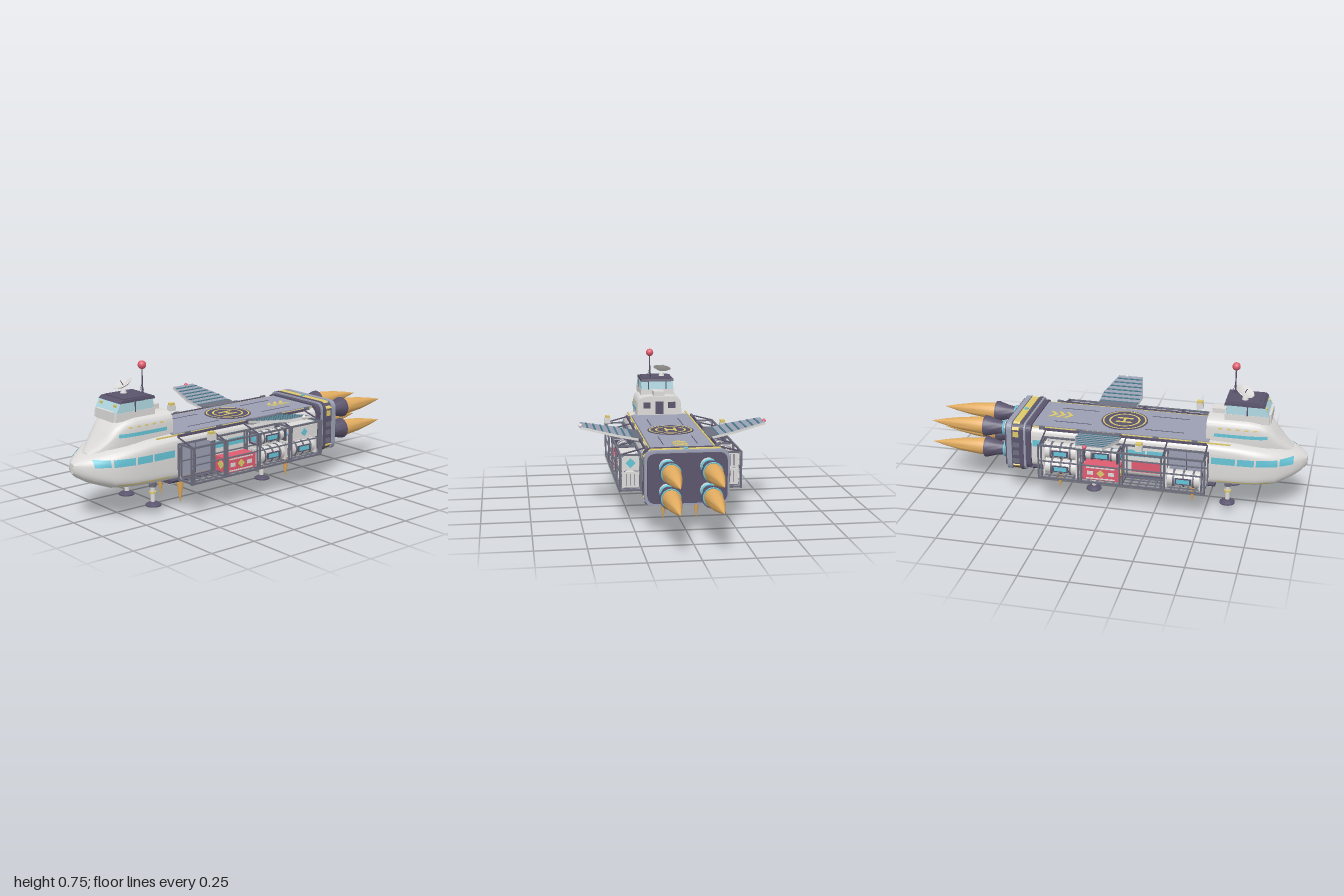
import * as THREE from 'three';
import { toCreasedNormals } from 'three/addons/utils/BufferGeometryUtils.js';

const mat = (name, color, side = THREE.FrontSide) => {
  const m = new THREE.MeshStandardMaterial({ color, side });
  m.name = name;
  return m;
};
const hull = mat('hullGrey', 0xdcdbd9), deck = mat('deckBlueGrey', 0x9a9fb2), dark = mat('darkPurple', 0x5a546c);
const frame = mat('frameGrey', 0x6e6f7e), cyan = mat('cyan', 0x66c4d7, THREE.DoubleSide), glass = mat('paleGlass', 0xb2dae3);
const yellow = mat('yellow', 0xdcc86c, THREE.DoubleSide), flame = mat('flameOrange', 0xe2ac60);
const red = mat('red', 0xdf5c70), teal = mat('darkTeal', 0x447886);

// Stations: [z, half width, bottom, top, roundness exponent]
const HULL = [[-.43, .187, .162, .39, 7], [.5, .187, .162, .39, 7], [.65, .185, .162, .385, 6], [.75, .18, .163, .375, 5],
  [.85, .157, .17, .36, 4], [.93, .103, .198, .335, 3], [.97, .065, .222, .32, 2.6], [1, .024, .25, .3, 2.2]];
const CABIN = [[.49, .125, .3, .5, 5], [.7, .125, .3, .5, 5], [.76, .12, .3, .495, 4.5], [.8, .108, .3, .472, 4],
  [.84, .092, .3, .425, 3.5], [.88, .068, .3, .382, 3], [.925, .03, .3, .34, 3]];

function loft(stations, n = 56) {
  const pos = [], idx = [];
  for (const [z, w, yb, yt, e] of stations)
    for (let j = 0; j < n; j++) {
      const a = j / n * Math.PI * 2, c = Math.cos(a), s = Math.sin(a);
      pos.push(w * Math.sign(c) * Math.abs(c) ** (2 / e), (yb + yt) / 2 + (yt - yb) / 2 * Math.sign(s) * Math.abs(s) ** (2 / e), z);
    }
  const m = stations.length, first = stations[0], last = stations[m - 1];
  pos.push(0, (first[2] + first[3]) / 2, first[0], 0, (last[2] + last[3]) / 2, last[0]);
  for (let j = 0; j < n; j++) {
    const k = (j + 1) % n, e = (m - 1) * n;
    for (let i = 0; i < m - 1; i++) {
      const a = i * n + j, b = i * n + k;
      idx.push(a, b, b + n, a, b + n, a + n);
    }
    idx.push(m * n, k, j, m * n + 1, e + j, e + k);
  }
  const g = new THREE.BufferGeometry();
  g.setAttribute('position', new THREE.Float32BufferAttribute(pos, 3));
  g.setIndex(idx);
  return toCreasedNormals(g, .7);
}

// Half width of a lofted body at (z, y)
function halfWidth(st, z, y) {
  let i = 0;
  while (i < st.length - 2 && z > st[i + 1][0]) i++;
  const t = (z - st[i][0]) / (st[i + 1][0] - st[i][0]);
  const [, w, yb, yt, e] = st[i].map((v, k) => v + (st[i + 1][k] - v) * t);
  return w * Math.max(0, 1 - Math.abs((2 * y - yb - yt) / (yt - yb)) ** e) ** (1 / e);
}

// Thin painted strip that follows a lofted body
function strip(st, s, z0, z1, y0, y1) {
  const g = new THREE.PlaneGeometry(1, 1, 8, 3), p = g.attributes.position;
  for (let i = 0; i < p.count; i++) {
    const z = z0 + (p.getX(i) + .5) * (z1 - z0), y = y0 + (p.getY(i) + .5) * (y1 - y0);
    p.setXYZ(i, s * (halfWidth(st, z, y) + .004), y, z);
  }
  // keep the face order outward on both sides
  if (s > 0) g.setIndex(Array.from(g.index.array).reverse());
  g.computeVertexNormals();
  return g;
}

function roundRect(w, y0, y1, r) {
  const s = new THREE.Shape();
  s.moveTo(-w + r, y0).lineTo(w - r, y0).quadraticCurveTo(w, y0, w, y0 + r).lineTo(w, y1 - r).quadraticCurveTo(w, y1, w - r, y1);
  s.lineTo(-w + r, y1).quadraticCurveTo(-w, y1, -w, y1 - r).lineTo(-w, y0 + r).quadraticCurveTo(-w, y0, -w + r, y0);
  return s;
}
const poly = pts => new THREE.Shape(pts.map(p => new THREE.Vector2(...p)));
const plate = (shape, depth) => new THREE.ExtrudeGeometry(shape, { depth, bevelEnabled: false, curveSegments: 6 });
const lathe = (pts, n = 24) => toCreasedNormals(new THREE.LatheGeometry(pts.map(p => new THREE.Vector2(...p)), n), .6);

export function createModel() {
  const root = new THREE.Group();
  root.name = 'spaceFreighter';
  let parent = root;
  const add = (name, geo, m, x = 0, y = 0, z = 0) => {
    const o = new THREE.Mesh(geo, m);
    o.name = name;
    o.position.set(x, y, z);
    parent.add(o);
    return o;
  };
  const box = (name, m, w, h, d, x, y, z) => add(name, new THREE.BoxGeometry(w, h, d), m, x, y, z);
  const cyl = (name, m, r0, r1, h, x, y, z, n = 20) => add(name, new THREE.CylinderGeometry(r0, r1, h, n), m, x, y, z);
  const rod = (name, m, r, a, b) => {
    const A = new THREE.Vector3(...a), B = new THREE.Vector3(...b), d = B.clone().sub(A);
    const o = cyl(name, m, r, r, d.length(), 0, 0, 0, 6);
    o.position.copy(A).add(B).multiplyScalar(.5);
    o.quaternion.setFromUnitVectors(new THREE.Vector3(0, 1, 0), d.normalize());
  };
  const group = (name, fn) => {
    const old = parent, g = new THREE.Group();
    g.name = name;
    old.add(g);
    parent = g;
    fn(g);
    parent = old;
  };

  // Hull, belly and forward cabin
  add('hull', loft(HULL), hull);
  add('bellyTrim', plate(poly([[-.165, .148], [.165, .148], [.198, .17], [-.198, .17]]), .98), dark, 0, 0, -.43);
  box('bellyPlate', hull, .325, .004, .975, 0, .147, .06);
  add('cabin', loft(CABIN), hull);
  for (const s of [1, -1]) {
    for (const [a, b] of [[.87, .935], [.755, .86], [.66, .745], [.53, .65], [.2, .29], [.09, .19], [-.12, .07], [-.33, -.14], [-.41, -.35]])
      add('hullWindow', strip(HULL, s, a, b, .287, .323), cyan);
    add('cabinStripe', strip(CABIN, s, .53, .8, .412, .43), cyan);
    for (let i = 0; i < 5; i++) add('cabinPort', strip(CABIN, s, .55 + i * .045, .57 + i * .045, .453, .461), yellow);
    add('noseStripe', strip(HULL, s, .56, .84, .189, .195), yellow);
    box('cabinRearWindow', dark, .04, .035, .006, s * .07, .45, .489);
  }
  box('cabinDoor', dark, .045, .07, .008, 0, .435, .488);
  box('cabinRearStep', hull, .06, .03, .07, 0, .51, .54);

  // Bridge
  group('bridge', () => {
    const layer = (name, m, w, y, h, z0, z1, slope) => {
      const g = plate(poly([[z0, y], [z1, y], [z1 - slope, y + h], [z0 + slope * .2, y + h]]), w * 2);
      g.translate(0, 0, -w).rotateY(-Math.PI / 2);
      add(name, g, m);
    };
    layer('bridgeBase', hull, .094, .485, .042, .575, .805, .006);
    layer('bridgeGlass', glass, .092, .525, .048, .58, .8, .025);
    layer('bridgeRoof', dark, .092, .572, .014, .572, .778, .015);
    box('frontHood', hull, .145, .05, .05, 0, .508, .785);
    for (const s of [1, -1]) {
      box('headlamp', yellow, .022, .012, .008, s * .06, .558, .784);
      box('sideRib', dark, .006, .05, .006, s * .092, .548, .69);
      box('rearRib', dark, .006, .05, .006, s * .05, .548, .581);
    }
    box('roofTrim', dark, .16, .006, .16, 0, .588, .67);
    // Dish and mast
    cyl('dishFoot', hull, .012, .018, .022, -.035, .598, .67);
    const n = new THREE.Vector3(-.2, 1, .48).normalize(), up = new THREE.Vector3(0, 1, 0);
    const dish = add('dish', lathe([[0, -.012], [.03, -.007], [.05, .004], [.048, .006], [.028, -.001], [0, -.005]], 20), hull, -.038, .633, .668);
    dish.quaternion.setFromUnitVectors(up, n);
    rod('dishFeed', dark, .002, [-.038, .628, .668], [-.046, .652, .68]);
    cyl('mast', dark, .003, .004, .14, .04, .655, .61, 8);
    add('mastBall', new THREE.SphereGeometry(.021, 24, 16), red, .04, .735, .61);
    for (let i = 0; i < 3; i++) {
      const a = i * Math.PI * 2 / 3;
      rod('stay', dark, .001, [.04, .65, .61], [.04 + .018 * Math.cos(a), .585, .61 + .018 * Math.sin(a)]);
    }
  });

  // Flight deck and its markings
  group('deck', () => {
    box('deckPlate', deck, .315, .012, .93, 0, .389, .045);
    for (const s of [1, -1]) {
      box('edgeStripe', yellow, .008, .006, 1.03, s * .166, .389, .105);
      box('edgeRail', dark, .008, .012, .85, s * .184, .388, .08);
      for (const z of [-.22, .27]) box('deckGroove', dark, .004, .002, .2, s * .087, .3955, z);
      for (let i = 0; i < 5; i++) box('deckFitting', frame, .014, .016, .03, s * .178, .392, -.36 + i * .2);
    }
    cyl('landingPad', dark, .122, .122, .004, 0, .396, .04, 48);
    for (const [a, b] of [[.107, .115], [.072, .082]])
      add('padRing', new THREE.RingGeometry(a, b, 48).rotateX(-Math.PI / 2), yellow, 0, .399, .04);
    for (const s of [1, -1]) box('padBar', yellow, .012, .002, .085, s * .024, .399, .04);
    box('padCrossbar', yellow, .04, .002, .012, 0, .399, .04);
    for (let i = 0; i < 3; i++)
      add('chevron', plate(poly([[-.036, 0], [0, .028], [.036, 0], [.036, .018], [0, .048], [-.036, .018]]), .002).rotateX(Math.PI / 2), yellow, 0, .397, -.37 + i * .042);
  });

  // Rear engine block
  group('engineBlock', () => {
    for (const [z0, z1, w, m] of [[-.445, -.418, .198, dark], [-.455, -.445, .206, deck], [-.474, -.455, .208, dark],
      [-.52, -.474, .203, dark], [-.546, -.52, .208, deck], [-.558, -.546, .196, dark]])
      add('blockLayer', plate(roundRect(w, .35 - w, .205 + w, .045), z1 - z0), m, 0, 0, z0);
    box('topYellowBand', yellow, .34, .008, .036, 0, .408, -.497);
    for (const s of [1, -1]) {
      for (const [y, t] of [[.393, -.75], [.162, .75]])
        box('cornerYellowBand', yellow, .05, .006, .036, s * .189, y, -.497).rotation.z = s * t;
      box('sideYellowBand', yellow, .008, .03, .03, s * .201, .35, -.497);
      for (const y of [.2, .245, .29]) box('sideVent', frame, .008, .025, .034, s * .202, y, -.497);
    }
    cyl('blockHatch', cyan, .012, .012, .006, 0, .413, -.497, 16);
    for (const x of [-.1, .1]) for (const y of [.215, .337]) {
      const spin = pts => lathe(pts).rotateX(-Math.PI / 2);
      add('engineCollar', spin([[0, 0], [.04, 0], [.036, .035], [0, .035]]), hull, x, y, -.556);
      add('engineRing', new THREE.TorusGeometry(.035, .007, 8, 24), cyan, x, y, -.588);
      add('nozzle', spin([[.03, .02], [.034, .045], [.04, .08], [.055, .13], [.055, .142], [.044, .142], [0, .12]]), dark, x, y, -.556);
      add('nozzleGlow', new THREE.TorusGeometry(.046, .004, 8, 24), cyan, x, y, -.697);
      add('exhaustFlame', spin([[0, 0], [.042, 0], [.045, .03], [.034, .14], [.018, .23], [0, .31]]), flame, x, y, -.69);
    }
  });

  // Landing legs and lift jets
  for (const s of [1, -1]) {
    for (const z of [.61, -.1]) group('landingLeg', () => {
      cyl('legTop', frame, .02, .018, .03, s * .112, .15, z);
      cyl('strut', hull, .012, .012, .1, s * .112, .1, z);
      cyl('strutRing', yellow, .018, .018, .008, s * .112, .107, z);
      add('foot', lathe([[0, .04], [.04, .04], [.04, .046], [.016, .06], [0, .06]]), dark, s * .116, 0, z);
    });
    for (const z of [.42, -.295]) {
      cyl('liftNozzle', dark, .024, .027, .014, s * .085, .147, z);
      add('liftFlame', lathe([[0, 0], [.009, .05], [.018, .105], [.022, .15], [0, .15]]), flame, s * .085, .003, z);
    }
  }

  // Folding wings with tip lamps
  for (const s of [1, -1]) group(s > 0 ? 'leftWing' : 'rightWing', g => {
    g.position.set(s * .19, .395, 0);
    g.rotation.z = s * .2;
    const shape = poly([[0, -.15], [.11, -.15], [.295, -.1], [.295, .035], [.11, .075], [0, .06]].map(([x, z]) => [s * x, z]));
    add('wingPanel', plate(shape, .013).rotateX(Math.PI / 2), [deck, hull]);
    for (let u = .035; u < .28; u += .038) {
      const t = Math.max(0, (u - .11) / .185);
      box('wingStripe', teal, .009, .003, .21 - .085 * t, s * u, .001, -.04 + .009 * t);
    }
    box('wingHinge', frame, .05, .024, .21, s * .005, -.008, -.045);
    box('wingBracket', frame, .022, .022, .04, s * .115, -.02, -.04);
    add('tipLamp', new THREE.SphereGeometry(.011, 16, 12), s > 0 ? hull : red, s * .297, -.003, -.055);
  });

  // Side cargo racks
  const tank = (x, y, z, r) => {
    cyl('tank', hull, r, r, .165, x, y, z).rotation.x = Math.PI / 2;
    for (const d of [-.05, 0, .05]) cyl('tankBand', frame, r + .002, r + .002, .01, x, y, z + d).rotation.x = Math.PI / 2;
    // label plates on the outer face
    box('tankLabelFrame', dark, .004, .034, .085, x + Math.sign(x) * (r + .001), y, z);
    box('tankLabel', cyan, .004, .022, .066, x + Math.sign(x) * (r + .003), y, z);
  };
  const pump = (x, y, z) => {
    tank(x, y, z, .033);
    for (const e of [-1, 1]) {
      box('pumpPlate', dark, .085, .064, .008, x, y, z + e * .086);
      box('pumpFace', deck, .06, .044, .004, x, y, z + e * .091);
      cyl('pumpDial', cyan, .015, .015, .005, x, y, z + e * .094, 16).rotation.x = Math.PI / 2;
    }
  };
  const drumCrate = (x, y, z) => {
    tank(x, y, z, .042);
    for (const e of [-1, 1]) {
      box('drumPlate', hull, .086, .08, .008, x, y, z + e * .086);
      for (const u of [-.02, 0, .02]) box('drumSlot', dark, .003, .06, .003, x + u, y, z + e * .09);
    }
  };
  const crate = (m, mark, x, y, z) => {
    const s = Math.sign(x);
    box('crate', m, .085, .075, .19, x, y, z);
    for (const e of [-1, 1]) {
      box('crateMark', mark, .036, .036, .004, x, y, z + e * .096).rotation.z = Math.PI / 4;
      box('crateTrim', hull, .004, .006, .15, x + s * .043, y + e * .03, z);
      box('crateLabel', hull, .004, .02, .03, x + s * .043, y, z + e * .055);
    }
    box('crateSideMark', mark, .004, .03, .03, x + s * .044, y, z).rotation.x = Math.PI / 4;
  };
  const posts = [.508, .302, .088, -.128, -.338], zs = [.405, .195, -.02, -.233];
  for (const s of [1, -1]) group(s > 0 ? 'leftRack' : 'rightRack', () => {
    const mid = s * .252, B = .009;
    for (const x of [.203, .305]) {
      for (const y of [.172, .265, .352]) box('rackRail', frame, B, y === .265 ? .005 : B, .855, s * x, y, .085);
      for (const z of posts) for (const e of [-1, 1]) box('rackPost', frame, B, .19, .007, s * x, .262, z + e * .008);
    }
    for (const z of posts) {
      for (const y of [.172, .352]) box('rackCrossbar', frame, .105, B, B, mid, y, z);
      rod('rackTie', dark, .004, [s * .302, .355, z], [s * .185, .385, z]);
    }
    // corner gussets on the end frames
    for (const z of [posts[0], posts[4]]) for (const u of [-1, 1]) for (const [y, v] of [[.172, 1], [.352, -1]])
      add('gusset', plate(poly([[0, 0], [-u * .022, 0], [0, v * .022]]), .004), deck, mid + u * .05, y, z);
    zs.forEach((zc, i) => {
      for (let k = 1; k < 5; k++) box('floorSlat', frame, .1, .004, .008, mid, .172, posts[i] + (posts[i + 1] - posts[i]) * k / 5);
      for (const k of [-1, 1]) box('floorRunner', frame, .008, .004, .2, mid + k * .018, .172, zc);
    });
    box('hullDoor', deck, .008, .16, .19, s * .188, .27, .405);
    box('doorSeam', dark, .01, .16, .004, s * .188, .27, .405);
    // Cargo differs from side to side
    pump(mid, .314, zs[2]);
    if (s > 0) {
      crate(red, yellow, mid, .22, zs[1]);
      drumCrate(mid, .222, zs[2]);
      drumCrate(mid, .222, zs[3]);
      crate(hull, cyan, mid, .308, zs[3]);
    } else {
      drumCrate(mid, .222, zs[0]);
      crate(red, yellow, mid, .22, zs[2]);
      for (const y of [.222, .308]) drumCrate(mid, y, zs[3]);
      box('redHullPanel', red, .008, .06, .15, s * .188, .23, zs[1]);
    }
    // Rail-mounted hoist
    const hz = s > 0 ? .39 : .18;
    box('hoistBody', hull, .03, .03, .035, s * .303, .39, hz);
    box('hoistLamp', yellow, .024, .014, .03, s * .303, .411, hz);
  });
  return root;
}
